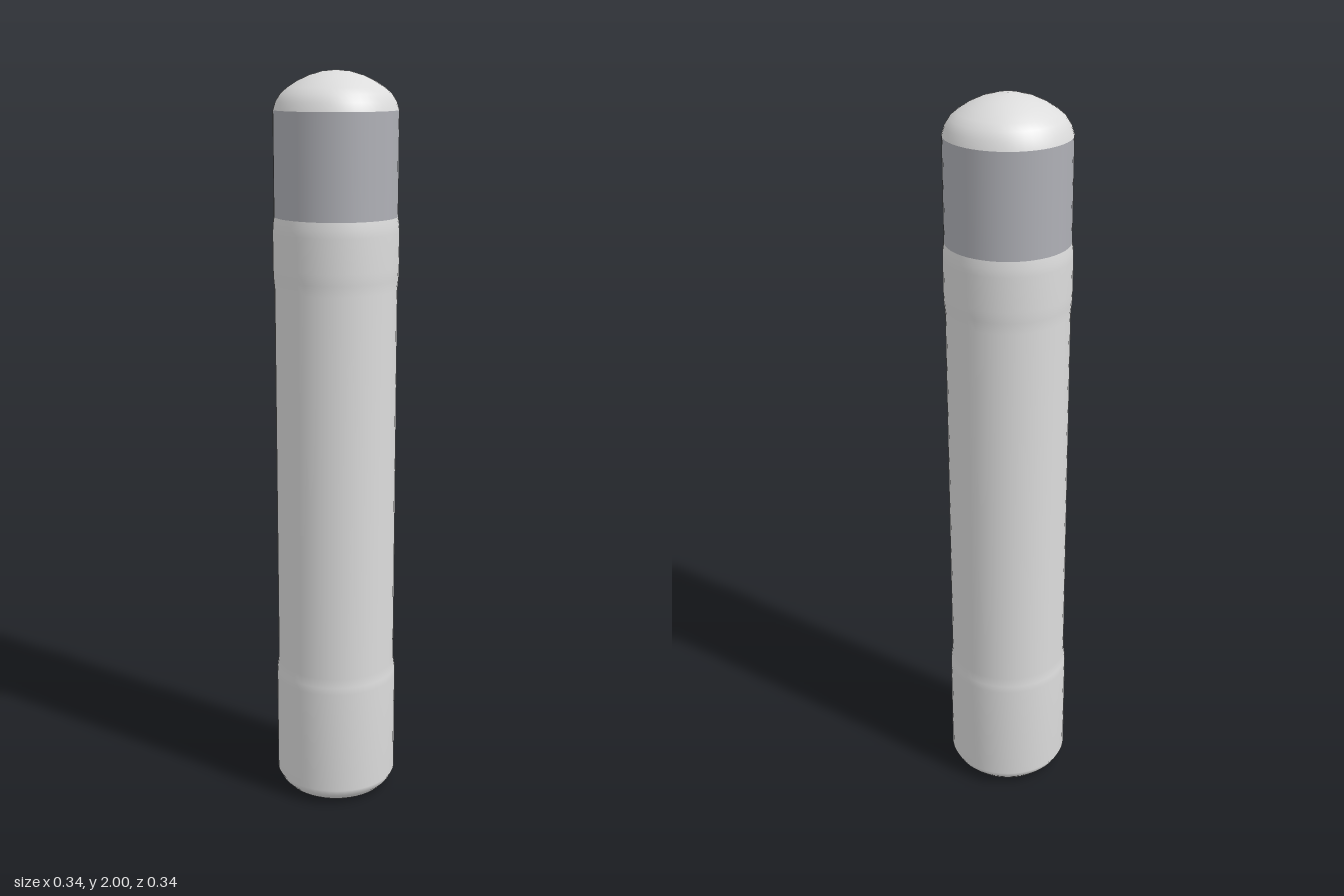
import * as THREE from 'three';

export function createModel() {
  const group = new THREE.Group();
  const lightGrey = new THREE.MeshStandardMaterial({ color: 0xdcdcdc });
  lightGrey.name = 'light grey';
  const bandGrey = new THREE.MeshStandardMaterial({ color: 0xafb0b6 });
  bandGrey.name = 'band grey';

  // Revolve a [radius, height] profile, listed from bottom to top
  function turned(name, profile, material) {
    const points = profile.map(([r, y]) => new THREE.Vector2(r, y));
    const mesh = new THREE.Mesh(new THREE.LatheGeometry(points, 48), material);
    mesh.name = name;
    group.add(mesh);
  }

  // Flat underside
  turned('base', [[0, 0], [0.127, 0]], lightGrey);

  // Handle with a thicker foot and a slight collar below the band
  turned('body', [
    [0.127, 0], [0.142, 0.009], [0.157, 0.025], [0.168, 0.046],
    [0.168, 0.34], [0.167, 0.36], [0.163, 0.385],
    [0.163, 1.44], [0.166, 1.47], [0.167, 1.5],
    [0.167, 1.59], [0.166, 1.61], [0.163, 1.63],
  ], lightGrey);

  // Darker band
  turned('band', [[0.163, 1.63], [0.163, 1.9]], bandGrey);

  // Low rounded cap
  turned('cap', [
    [0.163, 1.9], [0.156, 1.922], [0.143, 1.942], [0.125, 1.957],
    [0.1, 1.973], [0.07, 1.987], [0.035, 1.997], [0, 2],
  ], lightGrey);

  return group;
}
